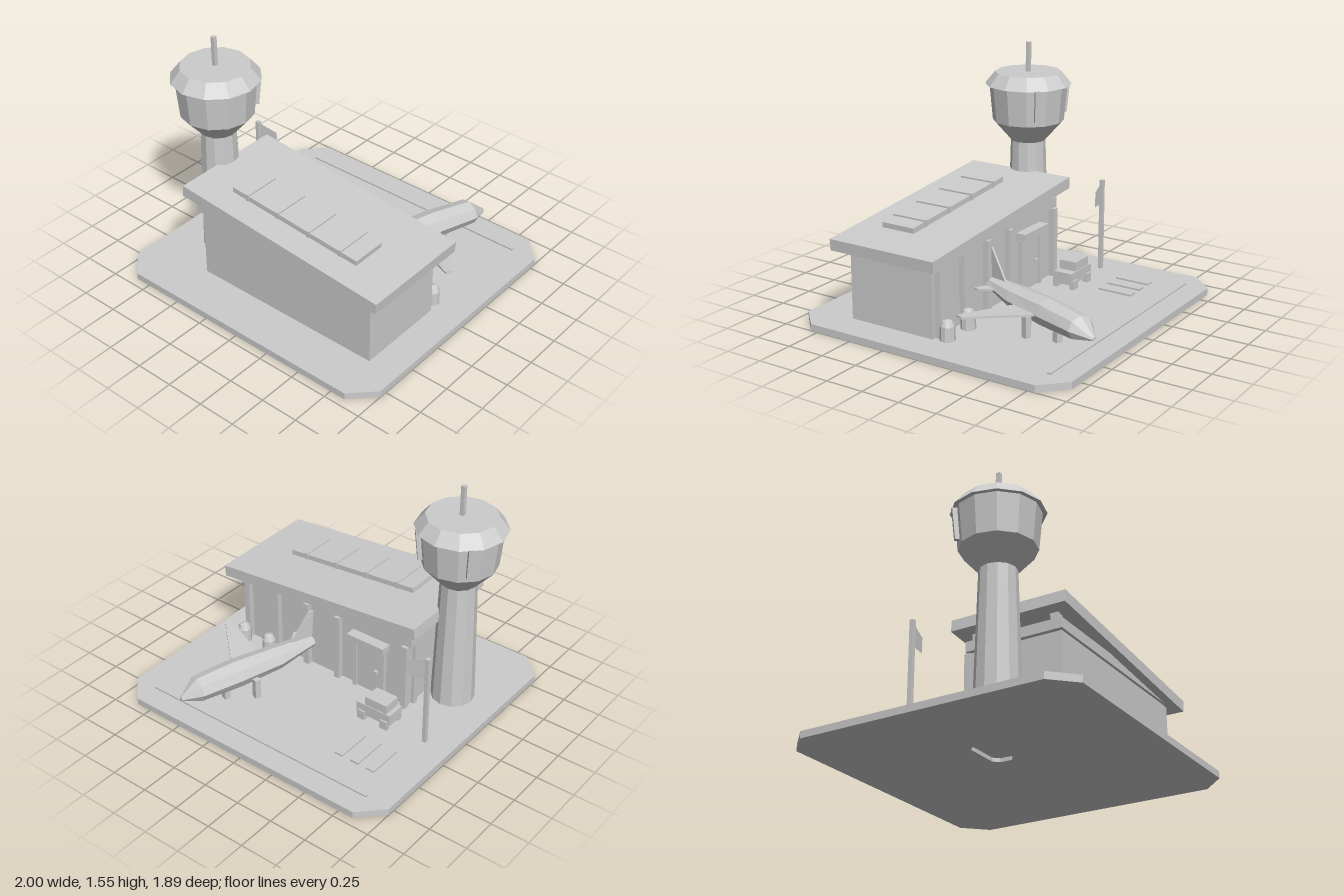
import * as THREE from 'three';

const grey = new THREE.MeshStandardMaterial({ color: 0xcccccc, flatShading: true, side: THREE.DoubleSide });
grey.name = 'plain grey';

const GROUND = 0.045;

function add(parent, name, geometry, x = 0, y = 0, z = 0) {
  const mesh = new THREE.Mesh(geometry, grey);
  mesh.name = name;
  mesh.position.set(x, y, z);
  parent.add(mesh);
  return mesh;
}

// Box given by its limits on each axis
function box(parent, name, x0, x1, y0, y1, z0, z1) {
  return add(parent, name, new THREE.BoxGeometry(x1 - x0, y1 - y0, z1 - z0),
    (x0 + x1) / 2, (y0 + y1) / 2, (z0 + z1) / 2);
}

const points = list => list.map(([x, y]) => new THREE.Vector2(x, y));

function plate(list, depth, hole) {
  const shape = new THREE.Shape(points(list));
  if (hole) shape.holes.push(new THREE.Path(points(hole)));
  return new THREE.ExtrudeGeometry(shape, { depth, bevelEnabled: false });
}

// Rectangle with cut corners
function octagon(cx, cy, w, h, c) {
  return [[w, h - c], [w - c, h], [c - w, h], [-w, h - c], [-w, c - h], [c - w, -h], [w - c, -h], [w, c - h]]
    .map(([x, y]) => [cx + x, cy + y]);
}

function makeBase() {
  const g = new THREE.Group();
  g.name = 'base';
  // Slab with a small pocket in the underside, closed by a thin plug
  const pocket = octagon(-0.23, 0, 0.15, 0.075, 0.035);
  add(g, 'slab', plate(octagon(0, 0, 1, 0.945, 0.147), GROUND, pocket).rotateX(-Math.PI / 2));
  add(g, 'pocketFloor', plate(pocket, 0.02).rotateX(-Math.PI / 2), 0, GROUND - 0.02, 0);
  box(g, 'runwayLine', -0.84, 0.84, GROUND, 0.056, -0.8, -0.777);
  for (const x of [-0.717, -0.6, -0.482]) box(g, 'groundMarking', x - 0.03, x + 0.03, GROUND, 0.057, -0.6, -0.365);
  return g;
}

function makeTerminal() {
  const g = new THREE.Group();
  g.name = 'terminal';
  box(g, 'walls', -0.53, 0.793, GROUND, 0.51, 0.04, 0.642);
  box(g, 'upperBand', -0.56, 0.8, 0.51, 0.575, 0.02, 0.66);
  for (const z of [0.08, 0.6]) box(g, 'roofPost', -0.54, -0.49, 0.575, 0.65, z - 0.025, z + 0.025);

  // Sloping roof with ribbed panel
  const roof = new THREE.Group();
  roof.name = 'roof';
  roof.position.set(0.135, 0.601, 0.338);
  roof.rotation.z = -0.089;
  box(roof, 'roofSlab', -0.757, 0.757, -0.037, 0.037, -0.379, 0.379);
  box(roof, 'roofPanel', -0.505, 0.468, 0.037, 0.071, -0.03, 0.204);
  for (const x of [-0.383, -0.142, 0.102, 0.343]) {
    box(roof, 'panelRib', x - 0.01, x + 0.01, 0.037, 0.081, -0.036, 0.21);
  }
  g.add(roof);

  // Pillars, door and canopy on the airfield side
  for (const x of [-0.52, 0, 0.25, 0.5, 0.745]) box(g, 'pillar', x - 0.02, x + 0.02, GROUND, 0.51, 0, 0.04);
  box(g, 'sidePillar', -0.552, -0.53, GROUND, 0.51, 0.08, 0.12);
  box(g, 'door', -0.34, -0.15, GROUND, 0.37, 0.025, 0.04);
  for (const x of [-0.352, -0.138]) box(g, 'doorFrame', x - 0.013, x + 0.013, GROUND, 0.395, 0.01, 0.04);
  box(g, 'doorLintel', -0.339, -0.151, 0.37, 0.395, 0.01, 0.04);
  box(g, 'doorCanopy', -0.385, -0.105, 0.405, 0.45, -0.03, 0.04);
  box(g, 'doorHandle', -0.315, -0.29, 0.2, 0.225, 0.005, 0.025);
  return g;
}

function makeTower() {
  const g = new THREE.Group();
  g.name = 'controlTower';
  g.position.set(-0.684, 0, 0.32);
  const ring = (name, top, bottom, y0, y1) =>
    add(g, name, new THREE.CylinderGeometry(top, bottom, y1 - y0, 12), 0, (y0 + y1) / 2, 0);
  ring('shaft', 0.115, 0.14, GROUND, 0.897);
  ring('flare', 0.235, 0.115, 0.897, 1.032);
  ring('cabin', 0.257, 0.235, 1.032, 1.275);
  ring('cap', 0.22, 0.285, 1.275, 1.355);
  box(g, 'antenna', -0.013, 0.013, 1.355, 1.55, -0.013, 0.013);
  // Slanted window bars facing the airfield
  for (const side of [-1, 1]) {
    const holder = new THREE.Group();
    holder.name = 'windowBar';
    holder.rotation.y = Math.PI - side * Math.PI / 4;
    const bar = box(holder, 'bar', -0.014, 0.014, 1.07, 1.28, 0.238, 0.268);
    bar.rotation.x = 0.1;
    g.add(holder);
  }
  return g;
}

function makeJet() {
  const g = new THREE.Group();
  g.name = 'aeroplane';
  g.position.set(0.23, 0, -0.02);
  g.rotation.y = -0.322;

  // Fuselage stations from tail to nose: distance, half width, centre height, half height
  const stations = [[-0.04, 0.05, 0.237, 0.033], [0.23, 0.092, 0.211, 0.073], [0.52, 0.1, 0.205, 0.088],
    [0.8, 0.094, 0.198, 0.075], [0.916, 0.016, 0.165, 0.012]];
  const n = stations.length - 1;
  const body = new THREE.CylinderGeometry(1, 1, 1, 8, n);
  const p = body.attributes.position;
  for (let i = 0; i < p.count; i++) {
    const [t, w, y, h] = stations[Math.round((p.getY(i) + 0.5) * n)];
    p.setXYZ(i, p.getX(i) * w, y + p.getZ(i) * h, -t);
  }
  body.computeVertexNormals();
  add(g, 'fuselage', body);

  // Swept wing, tailplane and fin
  const wing = add(g, 'wing', plate([[0.04, 0.31], [0.487, 0.27], [0.492, 0.318], [0.04, 0.53]], 0.014).rotateX(-Math.PI / 2), 0, 0.19, 0);
  wing.rotation.z = 0.06;
  add(g, 'tailplane', plate([[0.03, 0], [0.14, -0.02], [0.14, 0.01], [0.03, 0.11]], 0.012).rotateX(-Math.PI / 2), 0, 0.22, 0);
  add(g, 'tailFin', plate([[0.12, 0.265], [-0.04, 0.24], [-0.055, 0.46], [-0.02, 0.46]], 0.012).rotateY(Math.PI / 2), -0.006, 0, 0);

  // Landing gear
  for (const [x, t] of [[-0.1, 0.435], [0.1, 0.435], [0, 0.6]]) {
    box(g, 'gearLeg', x - 0.02, x + 0.02, GROUND, 0.18, -t - 0.02, -t + 0.02);
  }
  return g;
}

function makeTug() {
  const g = new THREE.Group();
  g.name = 'serviceCart';
  box(g, 'cartBody', -0.588, -0.338, 0.078, 0.155, -0.23, -0.1);
  box(g, 'cartLoad', -0.56, -0.4, 0.155, 0.215, -0.225, -0.105);
  for (const x of [-0.548, -0.378]) {
    for (const z of [-0.225, -0.1]) {
      box(g, 'wheel', x - 0.027, x + 0.027, GROUND, 0.105, z - 0.016, z + 0.016);
    }
  }
  return g;
}

function makeFlag() {
  const g = new THREE.Group();
  g.name = 'flag';
  g.position.set(-0.815, 0, -0.175);
  box(g, 'flagpole', -0.013, 0.013, GROUND, 0.66, -0.013, 0.013);
  const cloth = new THREE.ShapeGeometry(new THREE.Shape(points([[0, 0.5], [0.14, 0.51], [0.14, 0.61], [0, 0.65]])));
  add(g, 'flagCloth', cloth).rotation.y = 0.2;
  return g;
}

export function createModel() {
  const model = new THREE.Group();
  model.name = 'airport';
  model.add(makeBase(), makeTerminal(), makeTower(), makeJet(), makeTug(), makeFlag());
  // Domed barrels beside the back wall
  const profile = points([[0, GROUND], [0.048, GROUND], [0.045, 0.135], [0.03, 0.165], [0, 0.175]]);
  for (const x of [0.535, 0.747]) add(model, 'barrel', new THREE.LatheGeometry(profile, 10), x, 0, -0.035);
  return model;
}
